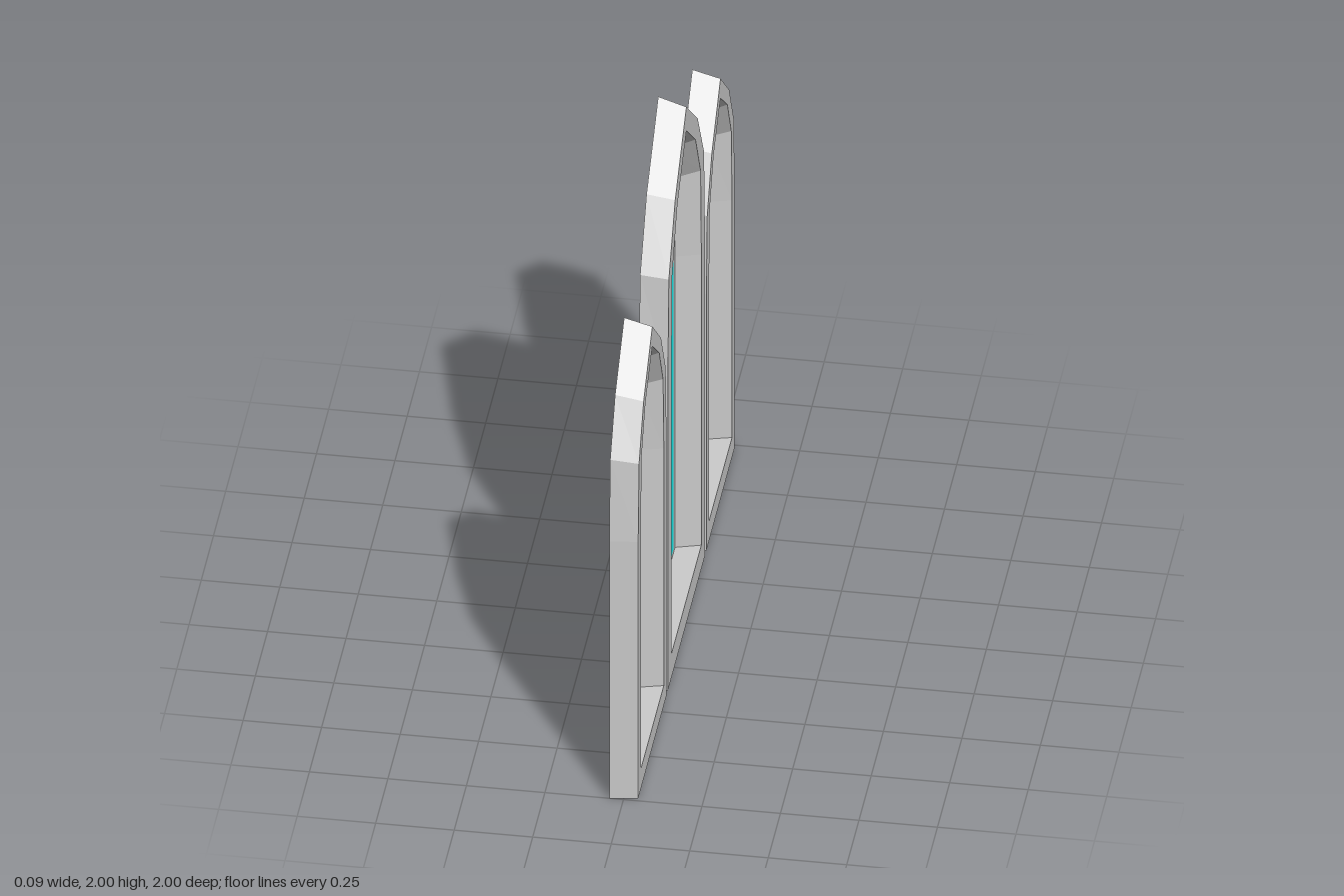
import * as THREE from 'three';

const stone = new THREE.MeshStandardMaterial({ color: 0xcccccc, flatShading: true, side: THREE.DoubleSide });
const pane = new THREE.MeshStandardMaterial({ color: 0x12f5f5, flatShading: true, side: THREE.DoubleSide });

const BACK = -0.045, FRONT = 0.045, RECESS = -0.035;

// Half of a pointed arch (bottom corner up to the tip), mirrored to a closed loop
function archLoop(half) {
  const mirrored = half.slice(0, -1).reverse().map(([u, y]) => [-u, y]);
  return [...half, ...mirrored];
}

// Joins successive loops, each at its own depth, with flat quads
function loftLoops(sections) {
  const pos = [];
  for (let s = 0; s < sections.length - 1; s++) {
    const a = sections[s], b = sections[s + 1], n = a.loop.length;
    const point = (sec, i) => [sec.x, sec.loop[i % n][1], -sec.loop[i % n][0]];
    for (let i = 0; i < n; i++) {
      const p = point(a, i), q = point(a, i + 1), r = point(b, i + 1), t = point(b, i);
      pos.push(...p, ...q, ...r, ...p, ...r, ...t);
    }
  }
  const geo = new THREE.BufferGeometry();
  geo.setAttribute('position', new THREE.Float32BufferAttribute(pos, 3));
  geo.computeVertexNormals();
  return geo;
}

function createWindow(name, profile) {
  const group = new THREE.Group();
  group.name = name;
  const loops = profile.map(archLoop);

  // Hollow frame: outer wall, front face, reveal, then the lip holding the glass
  const depths = [BACK, FRONT, FRONT, RECESS, RECESS];
  const frame = new THREE.Mesh(loftLoops(loops.map((loop, i) => ({ loop, x: depths[i] }))), stone);
  frame.name = 'frame';

  // Glass sheet filling the opening
  const outline = new THREE.Shape(loops[4].map(([u, y]) => new THREE.Vector2(u, y)));
  const glass = new THREE.Mesh(new THREE.ShapeGeometry(outline).rotateY(Math.PI / 2), pane);
  glass.position.x = RECESS;
  glass.name = 'glass';

  group.add(frame, glass);
  return group;
}

// Each row: outer back, outer front, inner front, reveal foot, glass edge
const tallProfile = [
  [[0.395, 0], [0.395, 1.2], [0.37, 1.57], [0.24, 1.79], [0, 2]],
  [[0.38, 0], [0.38, 1.2], [0.36, 1.555], [0.23, 1.77], [0, 1.97]],
  [[0.305, 0.09], [0.305, 1.2], [0.29, 1.53], [0.185, 1.72], [0, 1.88]],
  [[0.28, 0.09], [0.28, 1.2], [0.265, 1.51], [0.165, 1.69], [0, 1.83]],
  [[0.245, 0.105], [0.245, 1.19], [0.225, 1.485], [0.135, 1.655], [0, 1.79]],
];
const shortProfile = [
  [[0.3025, 0], [0.3025, 0.98], [0.285, 1.28], [0.185, 1.46], [0, 1.63]],
  [[0.29, 0], [0.29, 0.98], [0.272, 1.265], [0.178, 1.44], [0, 1.605]],
  [[0.235, 0.075], [0.235, 0.98], [0.22, 1.255], [0.14, 1.41], [0, 1.53]],
  [[0.213, 0.075], [0.213, 0.98], [0.2, 1.235], [0.125, 1.38], [0, 1.495]],
  [[0.19, 0.09], [0.19, 0.97], [0.175, 1.21], [0.105, 1.36], [0, 1.465]],
];

export function createModel() {
  const model = new THREE.Group();
  model.name = 'archedWindows';
  model.add(createWindow('middleWindow', tallProfile));
  for (const side of [1, -1]) {
    const win = createWindow(side > 0 ? 'frontWindow' : 'backWindow', shortProfile);
    win.position.z = side * 0.6975;
    model.add(win);
  }
  return model;
}
